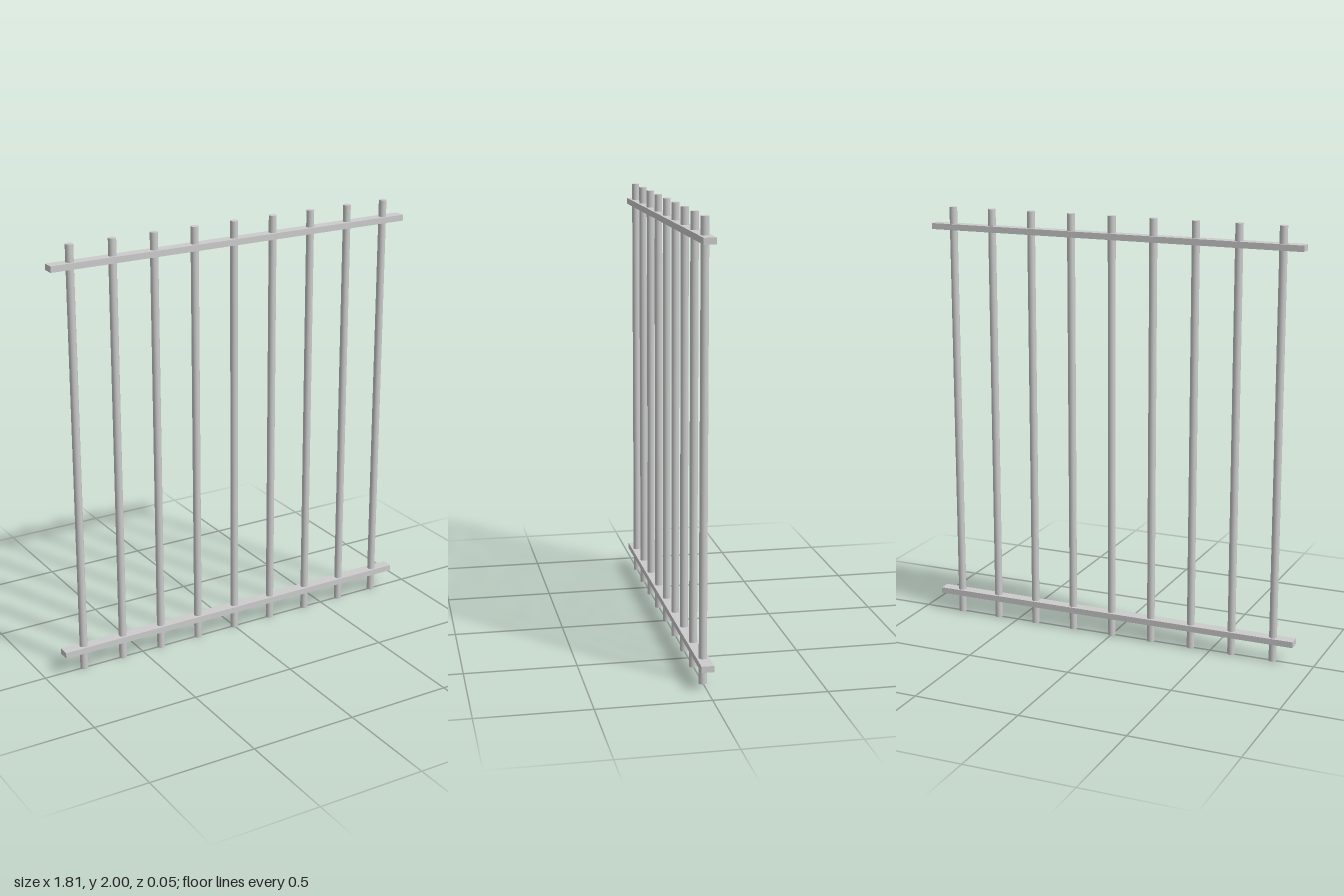
import * as THREE from 'three';

const BAR_COUNT = 9;
const BAR_SPACING = 0.201;
const BAR_RADIUS = 0.018;
const HEIGHT = 2;

export function createModel() {
  const model = new THREE.Group();
  model.name = 'barredGrille';
  const material = new THREE.MeshStandardMaterial({ color: 0xcccccc });

  // Round upright bars, evenly spaced
  const barGeometry = new THREE.CylinderGeometry(BAR_RADIUS, BAR_RADIUS, HEIGHT, 16);
  for (let i = 0; i < BAR_COUNT; i++) {
    const bar = new THREE.Mesh(barGeometry, material);
    bar.name = `verticalBar${i + 1}`;
    bar.position.set((i - (BAR_COUNT - 1) / 2) * BAR_SPACING, HEIGHT / 2, 0);
    model.add(bar);
  }

  // Flat cross rails the bars pass through
  const railGeometry = new THREE.BoxGeometry(1.81, 0.028, 0.055);
  for (const [name, y] of [['bottomRail', 0.1], ['topRail', 1.908]]) {
    const rail = new THREE.Mesh(railGeometry, material);
    rail.name = name;
    rail.position.y = y;
    model.add(rail);
  }

  return model;
}
